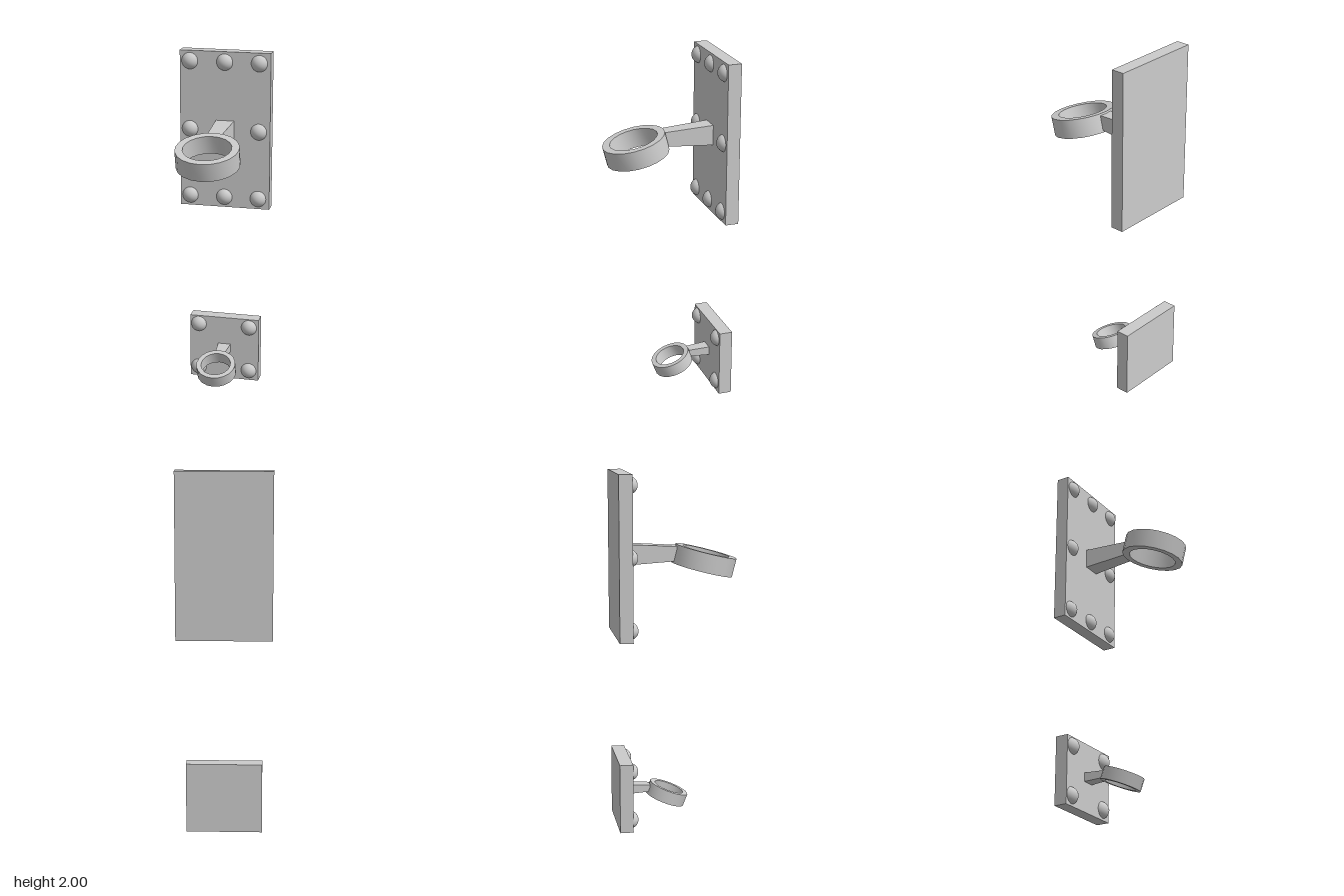
import * as THREE from 'three';
import { toCreasedNormals } from 'three/addons/utils/BufferGeometryUtils.js';

const BACK = -0.345, FACE = -0.27;
const material = new THREE.MeshStandardMaterial({ color: 0xcccccc });

function add(parent, name, geometry, x, y, z) {
  const mesh = new THREE.Mesh(geometry, material);
  mesh.name = name;
  mesh.position.set(x, y, z);
  parent.add(mesh);
  return mesh;
}

// Square-section band turned around the y axis
function ringGeometry(outer, inner, height) {
  const h = height / 2;
  const profile = [[inner, -h], [outer, -h], [outer, h], [inner, h], [inner, -h]]
    .map(([r, y]) => new THREE.Vector2(r, y));
  return toCreasedNormals(new THREE.LatheGeometry(profile, 20), 0.6);
}

// Box along z whose front end is narrower than its back end
function armGeometry(back, front, length) {
  const geometry = new THREE.BoxGeometry(1, 1, length);
  const p = geometry.attributes.position;
  for (let i = 0; i < p.count; i++) {
    const [w, h] = p.getZ(i) > 0 ? front : back;
    p.setXY(i, p.getX(i) * w, p.getY(i) * h);
  }
  geometry.computeVertexNormals();
  return geometry;
}

// Wall plate with rivets, a tapered arm and a tilted ring
function bracket(name, { width, bottom, top, rivets, arm, ring }) {
  const group = new THREE.Group();
  group.name = name;

  add(group, 'plate', new THREE.BoxGeometry(width, top - bottom, FACE - BACK),
    0, (top + bottom) / 2, (FACE + BACK) / 2);

  // Domed rivet heads, partly sunk into the plate
  const rivet = new THREE.SphereGeometry(0.05, 24, 16);
  for (const [x, y] of rivets) add(group, 'rivet', rivet, x, y, -0.286);

  const start = FACE - 0.01;
  add(group, 'arm', armGeometry(arm.back, arm.front, arm.end - start),
    0, arm.y, (arm.end + start) / 2);

  const band = add(group, 'ring', ringGeometry(ring.outer, ring.inner, ring.height),
    0, ring.y, ring.z);
  band.rotation.x = ring.tilt;
  return group;
}

export function createModel() {
  const model = new THREE.Group();
  model.name = 'wallBrackets';

  // Large upper bracket: eight rivets around the arm
  const upperRivets = [];
  for (const y of [1.94, 1.547, 1.15])
    for (const x of [-0.205, -0.003, 0.196])
      if (y !== 1.547 || x !== -0.003) upperRivets.push([x, y]);
  model.add(bracket('upperBracket', {
    width: 0.525, bottom: 1.09, top: 2, rivets: upperRivets,
    arm: { back: [0.106, 0.115], front: [0.082, 0.082], y: 1.547, end: 0.005 },
    ring: { outer: 0.177, inner: 0.135, height: 0.106, y: 1.504, z: 0.162, tilt: 0.25 },
  }));

  // Small lower bracket: one rivet in each corner
  const lowerRivets = [];
  for (const y of [0.34, 0.06])
    for (const x of [-0.158, 0.15]) lowerRivets.push([x, y]);
  model.add(bracket('lowerBracket', {
    width: 0.42, bottom: 0, top: 0.393, rivets: lowerRivets,
    arm: { back: [0.076, 0.052], front: [0.058, 0.04], y: 0.198, end: -0.15 },
    ring: { outer: 0.115, inner: 0.087, height: 0.072, y: 0.158, z: -0.05, tilt: 0.37 },
  }));

  return model;
}
